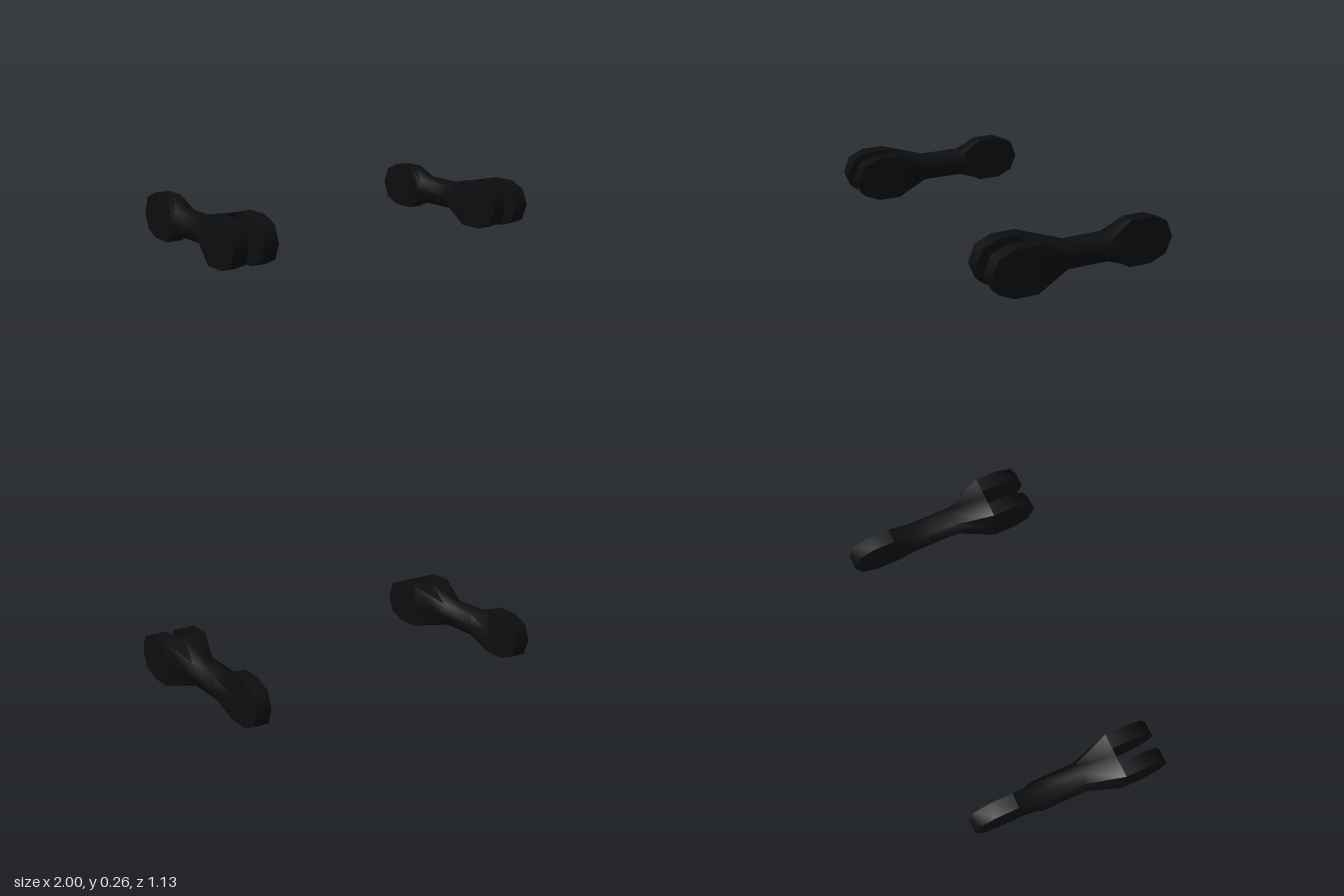
import * as THREE from 'three';
import { toCreasedNormals } from 'three/addons/utils/BufferGeometryUtils.js';

const R = 0.131;        // end disc radius, also height of the axis
const NECK = 0.087;     // neck radius
const PLATE = 0.0875;   // tongue and prong thickness
const JOINT = 0.302;    // where the body meets the flat ends
const PIVOT = 0.435;    // centre of the rounded ends
const CREASE = Math.PI * 0.28;

// eight points around a section: round (neck) or rectangular (ends)
function section(z, hx, hy, round) {
  const points = [];
  for (let i = 0; i < 8; i++) {
    const a = i * Math.PI / 4, c = Math.cos(a), s = Math.sin(a);
    points.push(round ? [c * hx, R + s * hy, z]
      : [Math.sign(Math.round(c * 2)) * hx, R + Math.sign(Math.round(s * 2)) * hy, z]);
  }
  return points;
}

// body: tongue-shaped at the back, round neck, wide block at the front
function bodyGeometry() {
  const rings = [
    section(-JOINT, PLATE / 2, R, false),
    section(-0.177, NECK, NECK, true),
    section(0.09, NECK, NECK, true),
    section(JOINT, R, R, false),
  ];
  const index = [];
  for (let i = 0; i < rings.length - 1; i++) {
    for (let j = 0; j < 8; j++) {
      const k = (j + 1) % 8, a = i * 8 + j, b = i * 8 + k;
      index.push(a, b, b + 8, a, b + 8, a + 8);
    }
  }
  // front cap, the floor of the slot
  const last = (rings.length - 1) * 8;
  for (let j = 1; j < 7; j++) index.push(last, last + j, last + j + 1);
  const g = new THREE.BufferGeometry();
  g.setAttribute('position', new THREE.Float32BufferAttribute(rings.flat(2), 3));
  g.setIndex(index);
  return toCreasedNormals(g, CREASE);
}

// flat plate with a half-octagon end, pointing to +z
function plateGeometry() {
  const shape = new THREE.Shape();
  shape.moveTo(JOINT, 0);
  for (let i = -2; i <= 2; i++) {
    const a = i * Math.PI / 4;
    shape.lineTo(PIVOT + Math.cos(a) * R, R + Math.sin(a) * R);
  }
  shape.lineTo(JOINT, 2 * R);
  const g = new THREE.ExtrudeGeometry(shape, { depth: PLATE, bevelEnabled: false });
  g.translate(0, 0, -PLATE / 2);
  g.rotateY(-Math.PI / 2);
  return toCreasedNormals(g, CREASE);
}

export function createModel() {
  const black = new THREE.MeshStandardMaterial({ color: 0x0d0d0d });
  black.name = 'black';
  const body = bodyGeometry(), plate = plateGeometry();
  const model = new THREE.Group();
  model.name = 'linkPair';

  for (const [side, sign] of [['left', 1], ['right', -1]]) {
    const link = new THREE.Group();
    link.name = side + 'Link';
    link.position.x = sign * (1 - R);
    const add = (name, geometry) => {
      const mesh = new THREE.Mesh(geometry, black);
      mesh.name = name;
      link.add(mesh);
      return mesh;
    };
    add('neck', body);
    add('tongue', plate).rotation.y = Math.PI;
    add('leftProng', plate).position.x = R - PLATE / 2;
    add('rightProng', plate).position.x = -(R - PLATE / 2);
    model.add(link);
  }
  return model;
}
